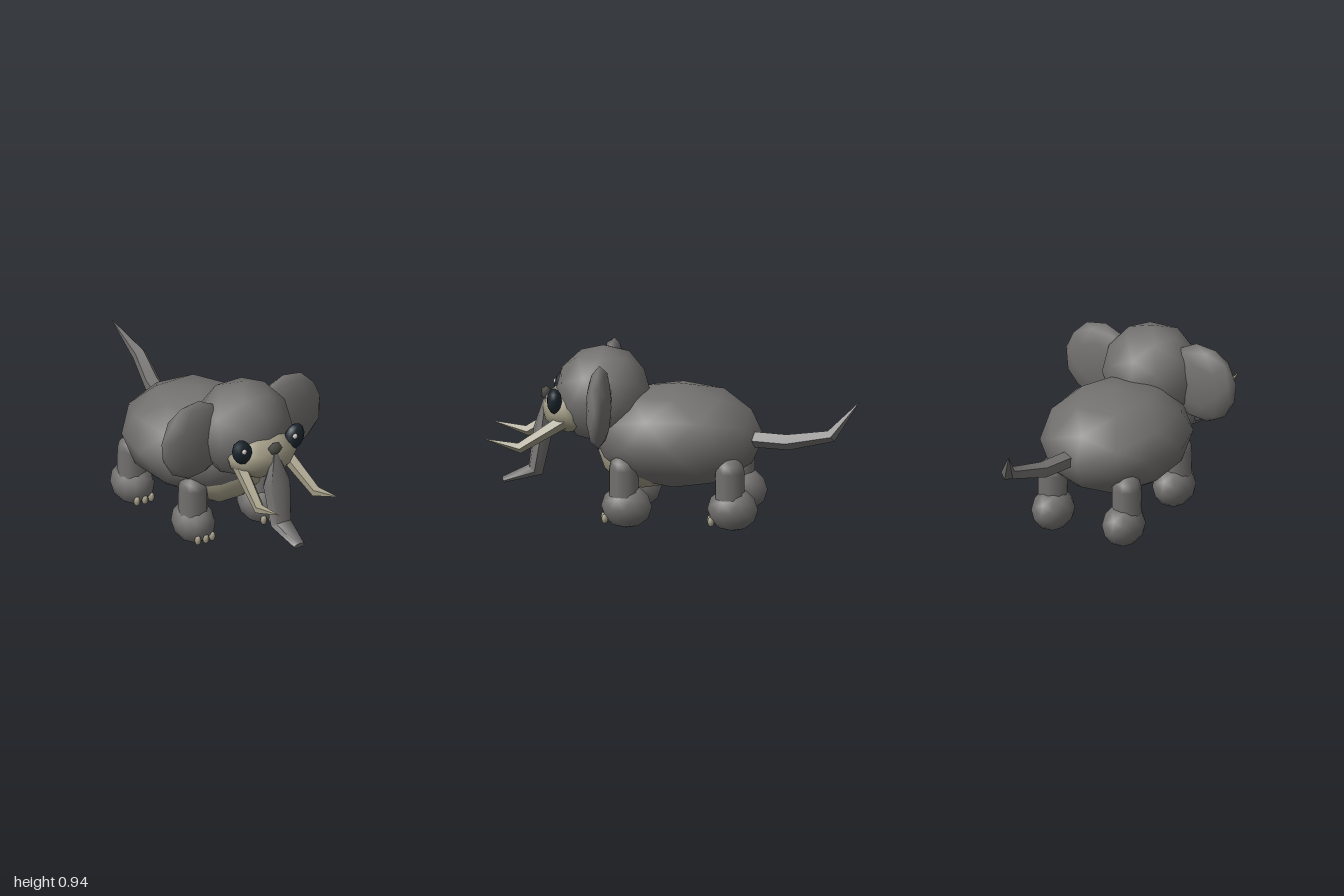
import * as THREE from 'three';
import { mergeVertices, toCreasedNormals } from 'three/addons/utils/BufferGeometryUtils.js';

const paint = (color) => new THREE.MeshStandardMaterial({ color, roughness: 0.9 });
const hide = paint(0x737170);
const ivory = paint(0xa09a84);
const eyeDark = paint(0x1c272e);
const noseDark = paint(0x4c4c47);
const glint = paint(0xcfcac6);

export function createModel() {
  const root = new THREE.Group();

  const add = (name, geometry, material) => {
    const mesh = new THREE.Mesh(geometry, material);
    mesh.name = name;
    root.add(mesh);
    return mesh;
  };

  // Smooth low-poly ellipsoid
  const blob = (name, material, position, radii, tilt = 0, detail = 1) => {
    let geometry = new THREE.IcosahedronGeometry(1, detail);
    geometry.deleteAttribute('uv');
    geometry.deleteAttribute('normal');
    geometry = mergeVertices(geometry, 1e-3);
    geometry.scale(...radii);
    geometry.computeVertexNormals();
    const mesh = add(name, geometry, material);
    mesh.position.set(...position);
    mesh.rotation.z = tilt;
    return mesh;
  };

  // Bent, tapering limb: each ring is [x, y, z, half width, half depth]
  const limb = (name, material, rings, sides) => {
    const points = rings.map((r) => new THREE.Vector3(r[0], r[1], r[2]));
    const last = points.length - 1;
    const sections = rings.map((r, i) => {
      const before = points[Math.max(i - 1, 0)];
      const after = points[Math.min(i + 1, last)];
      const along = after.clone().sub(before).normalize();
      const deep = along.clone().cross(new THREE.Vector3(1, 0, 0)).normalize();
      const wide = deep.clone().cross(along);
      return { center: points[i], wide, deep, a: r[3], b: r[4] ?? r[3] };
    });
    // Zero-size rings close both ends
    sections.unshift({ ...sections[0], a: 0, b: 0 });
    sections.push({ ...sections[sections.length - 1], a: 0, b: 0 });

    const vertices = [];
    const index = [];
    sections.forEach((s, k) => {
      for (let i = 0; i < sides; i++) {
        const angle = (i / sides) * Math.PI * 2;
        const p = s.center.clone()
          .addScaledVector(s.wide, Math.cos(angle) * s.a)
          .addScaledVector(s.deep, Math.sin(angle) * s.b);
        vertices.push(p.x, p.y, p.z);
        if (k === sections.length - 1) continue;
        const a = k * sides + i;
        const b = k * sides + ((i + 1) % sides);
        index.push(a, b, a + sides, b, b + sides, a + sides);
      }
    });
    const geometry = new THREE.BufferGeometry();
    geometry.setAttribute('position', new THREE.Float32BufferAttribute(vertices, 3));
    geometry.setIndex(index);
    return add(name, toCreasedNormals(geometry, 0.8), material);
  };

  // Torso and head
  blob('body', hide, [0, 0.465, -0.015], [0.39, 0.28, 0.46]);
  blob('belly', ivory, [0, 0.36, 0.16], [0.25, 0.188, 0.25]);
  blob('head', hide, [0, 0.675, 0.385], [0.27, 0.265, 0.257]);
  blob('muzzle', ivory, [0, 0.595, 0.56], [0.205, 0.13, 0.15]);
  blob('nose', noseDark, [0, 0.67, 0.69], [0.043, 0.038, 0.03], 0, 0);

  // Trunk and tail
  limb('trunk', hide, [
    [0, 0.655, 0.69, 0.008],
    [0, 0.47, 0.705, 0.086, 0.052],
    [0, 0.248, 0.745, 0.064, 0.045],
    [0, 0.187, 0.915, 0.035, 0.017],
  ], 8);
  limb('tail', hide, [
    [0.06, 0.47, -0.38, 0.05, 0.045],
    [0.125, 0.475, -0.62, 0.05, 0.045],
    [0.2, 0.535, -0.855, 0.042, 0.035],
    [0.12, 0.705, -0.998, 0.001],
  ], 5);

  for (const side of [1, -1]) {
    const label = side > 0 ? 'left' : 'right';

    blob(label + 'Ear', hide, [side * 0.305, 0.677, 0.372], [0.208, 0.222, 0.067], side * 0.15);
    blob(label + 'Eye', eyeDark, [side * 0.168, 0.667, 0.625], [0.058, 0.075, 0.04], side * -0.4);
    // Both glints sit toward the same side of the light
    blob(label + 'EyeGlint', glint, [side * 0.164 - 0.014, 0.686, 0.66], [0.015, 0.015, 0.012]);

    limb(label + 'Tusk', ivory, [
      [side * 0.145, 0.56, 0.57, 0.04],
      [side * 0.183, 0.41, 0.81, 0.03],
      [side * 0.19, 0.455, 0.998, 0.001],
    ], 5);

    // Legs, feet and toes
    for (const [end, z] of [['Front', 0.245], ['Back', -0.32]]) {
      const part = label + end;
      const x = side * 0.212;

      const leg = new THREE.CapsuleGeometry(0.08, 0.15, 3, 9);
      add(part + 'Leg', leg, hide).position.set(side * 0.222, 0.25, z + 0.005);

      blob(part + 'Foot', hide, [x, 0.118, z - 0.01], [0.11, 0.118, 0.136]);
      for (const i of [-1, 0, 1]) {
        const toeZ = z + (i === 0 ? 0.108 : 0.1);
        blob(part + 'Toe', ivory, [x + i * 0.046, 0.058, toeZ], [0.017, 0.028, 0.018]);
      }
    }
  }

  return root;
}
